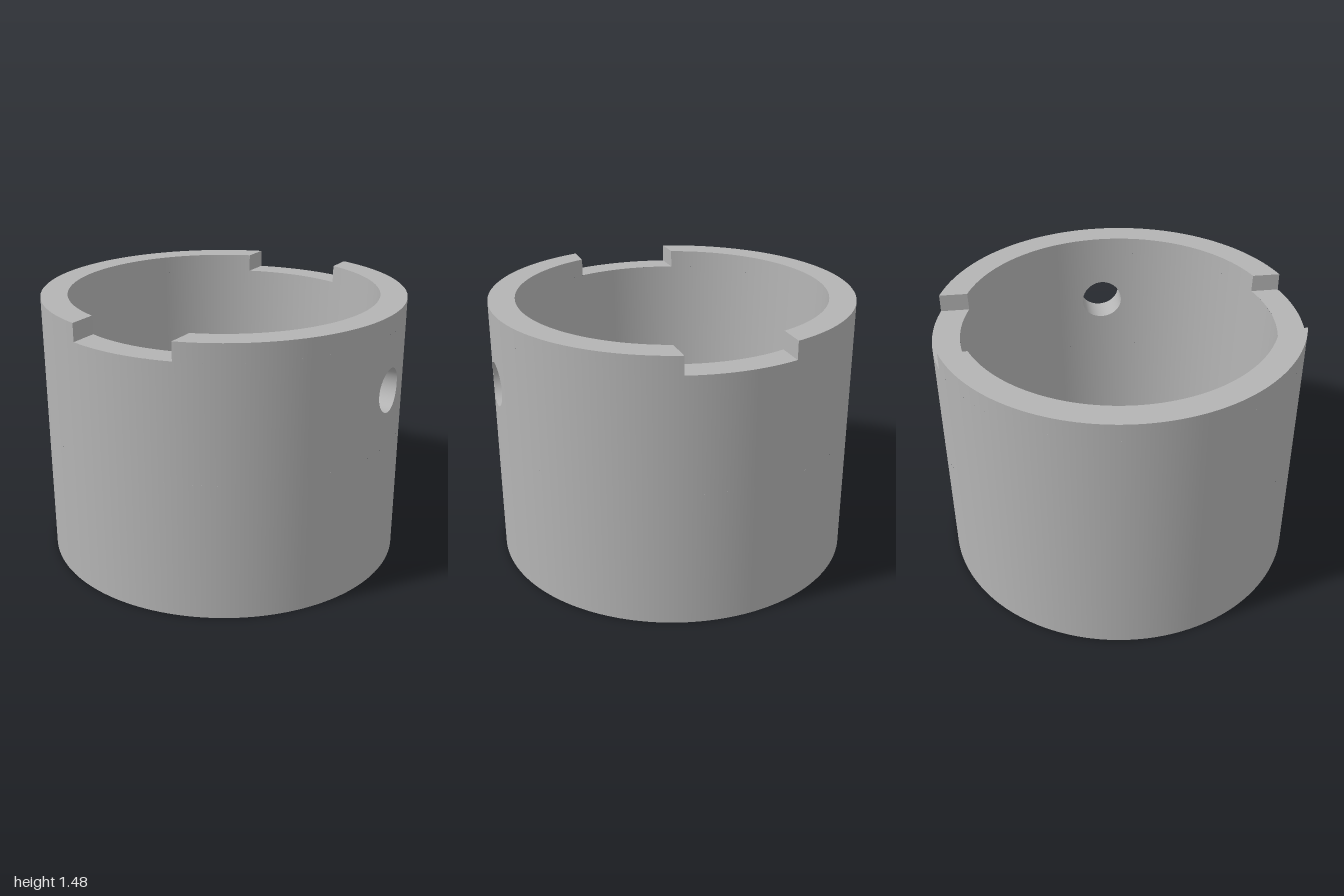
import * as THREE from 'three';
import { ParametricGeometry } from 'three/addons/geometries/ParametricGeometry.js';

const TAU = Math.PI * 2;
const R = 1, TOP = 1.475, NOTCH_Y = 1.377, NOTCH_X = 0.29;   // outer wall and rim notches
const FLOOR = 0.15;                                          // floor thickness
const PORT = { y: 1.065, r: 0.12, low: 0.75, half: 0.3 };    // round port in the +x wall
const DRAINS = [[-0.53, 0], [0.265, 0.46], [0.265, -0.46]];
const DIMPLE = { r: 0.048, depth: 0.05 };

const lerp = THREE.MathUtils.lerp;
const outer = () => R;
const inner = y => lerp(0.82, 0.855, (y - FLOOR) / (TOP - FLOOR)); // slightly tapered cavity

export function createModel() {
  const group = new THREE.Group();
  group.name = 'cup';
  const material = new THREE.MeshStandardMaterial({ color: 0xb4b4b4 });
  material.name = 'grey';

  const add = (name, geometry) => {
    const mesh = new THREE.Mesh(geometry, material);
    mesh.name = name;
    group.add(mesh);
  };
  // Surface from a function of (u, v); flip turns it to face the other way
  const sheet = (name, fn, nu, nv, flip = false) =>
    add(name, new ParametricGeometry((u, v, p) => p.set(...fn(flip ? 1 - u : u, v)), nu, nv));
  const polar = (r, a, y) => [r * Math.cos(a), y, -r * Math.sin(a)];

  // Angle at which the notch side meets radius r
  const notchAngle = r => Math.acos(NOTCH_X / r);

  for (const [label, radius, bottom, flip] of [['outer', outer, 0, false], ['inner', inner, FLOOR, true]]) {
    // Plain wall below the port, then the wall around the rest of the port's height
    sheet(label + 'LowerWall', (u, v) => {
      const y = lerp(bottom, PORT.low, v);
      return polar(radius(y), u * TAU, y);
    }, 160, 1, flip);
    sheet(label + 'UpperWall', (u, v) => {
      const y = lerp(PORT.low, NOTCH_Y, v);
      return polar(radius(y), lerp(PORT.half, TAU - PORT.half, u), y);
    }, 144, 1, flip);

    // Wall panel pierced by the port
    sheet(label + 'PortPanel', (u, v) => {
      const c = Math.cos(u * TAU), s = Math.sin(u * TAU), m = Math.max(Math.abs(c), Math.abs(s));
      const holeY = PORT.y + PORT.r * s;
      const edgeY = s > 0 ? lerp(PORT.y, NOTCH_Y, s / m) : lerp(PORT.y, PORT.low, -s / m);
      const y = lerp(holeY, edgeY, v);
      const a = lerp(Math.asin(PORT.r * c / radius(holeY)), PORT.half * c / m, v);
      return polar(radius(y), a, y);
    }, 64, 6, !flip);

    // Raised rim on both sides of the notches
    for (const turn of [0, Math.PI]) {
      sheet(label + 'Rim', (u, v) => {
        const y = lerp(NOTCH_Y, TOP, v), r = radius(y), a = notchAngle(r);
        return polar(r, turn + lerp(-a, a, u), y);
      }, 64, 1, flip);
    }
  }

  // Bore of the port through the wall
  sheet('portBore', (u, v) => {
    const y = PORT.y + PORT.r * Math.sin(u * TAU), z = -PORT.r * Math.cos(u * TAU);
    return [lerp(Math.sqrt(inner(y) ** 2 - z * z), Math.sqrt(R - z * z), v), y, z];
  }, 64, 1, true);

  // Rim tops and notch beds
  for (const turn of [0, Math.PI]) {
    sheet('rimTop', (u, v) => {
      const r = lerp(R, inner(TOP), v), a = notchAngle(r);
      return polar(r, turn + lerp(-a, a, u), TOP);
    }, 64, 2);
    sheet('notchBed', (u, v) => {
      const r = lerp(R, inner(NOTCH_Y), v), a = notchAngle(r);
      return polar(r, turn + lerp(a, Math.PI - a, u), NOTCH_Y);
    }, 20, 2);
  }

  // Upright sides of the notches
  for (const sx of [-1, 1]) for (const sz of [-1, 1]) {
    sheet('notchSide', (u, v) => {
      const y = lerp(NOTCH_Y, TOP, u), r = inner(y);
      const z = lerp(Math.sqrt(r * r - NOTCH_X ** 2), Math.sqrt(R - NOTCH_X ** 2), v);
      return [sx * NOTCH_X, y, sz * z];
    }, 1, 1, sx * sz > 0);
  }

  // Floor and underside, pierced by the drain holes
  const disc = (radius, holes) => {
    const shape = new THREE.Shape().absarc(0, 0, radius, 0, TAU);
    for (const [x, y, r] of holes) shape.holes.push(new THREE.Path().absarc(x, y, r, 0, TAU, true));
    return new THREE.ShapeGeometry(shape, 80);
  };
  const drains = DRAINS.map(([x, z]) => [x, z, 0.1]);
  add('floor', disc(inner(FLOOR), [...drains, [0, 0, DIMPLE.r]]).rotateX(-Math.PI / 2).translate(0, FLOOR, 0));
  add('underside', disc(R, drains).rotateX(Math.PI / 2));

  // Drain bores and the shallow centre dimple
  const bore = (name, x, z, r, y0) => sheet(name, (u, v) => {
    const p = polar(r, u * TAU, lerp(y0, FLOOR, v));
    return [p[0] + x, p[1], p[2] + z];
  }, 48, 1, true);
  for (const [x, z, r] of drains) bore('drainBore', x, z, r, 0);
  bore('dimpleWall', 0, 0, DIMPLE.r, FLOOR - DIMPLE.depth);
  add('dimpleBed', new THREE.CircleGeometry(DIMPLE.r, 48).rotateX(-Math.PI / 2).translate(0, FLOOR - DIMPLE.depth, 0));

  return group;
}
